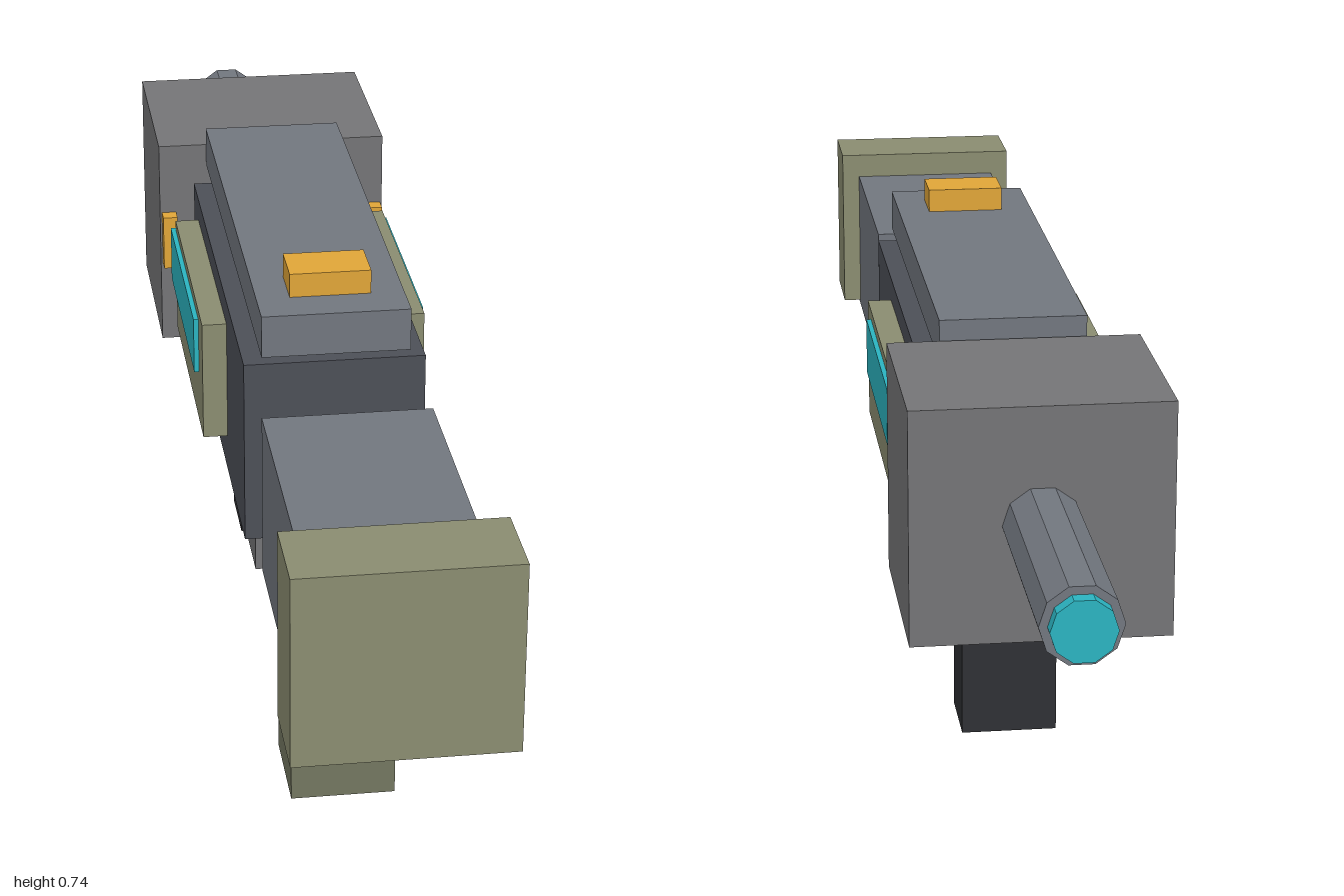
import * as THREE from 'three';

const mat = (color) => new THREE.MeshStandardMaterial({ color, flatShading: true });
const steel = mat(0x71767e), body = mat(0x4c4f57), grey = mat(0x747476), black = mat(0x2f3034);
const olive = mat(0x8a8c70), darkOlive = mat(0x737660), amber = mat(0xe0a538), cyan = mat(0x2bb3c0);

export function createModel() {
  const model = new THREE.Group();
  model.name = 'blaster';

  // Box given by its limits on each axis
  const box = (name, material, [x0, x1], [y0, y1], [z0, z1]) => {
    const mesh = new THREE.Mesh(new THREE.BoxGeometry(x1 - x0, y1 - y0, z1 - z0), material);
    mesh.position.set((x0 + x1) / 2, (y0 + y1) / 2, (z0 + z1) / 2);
    mesh.name = name;
    model.add(mesh);
  };
  // Box centred on x, given by its half width
  const centred = (name, material, half, y, z) => box(name, material, [-half, half], y, z);
  // Ten-sided rod along z, with corners at its left and right
  const rod = (name, material, radius, z0, z1) => {
    const geometry = new THREE.CylinderGeometry(radius, radius, z1 - z0, 10);
    geometry.rotateY(Math.PI / 2).rotateX(Math.PI / 2);
    const mesh = new THREE.Mesh(geometry, material);
    mesh.position.set(0, 0.518, (z0 + z1) / 2);
    mesh.name = name;
    model.add(mesh);
  };

  // Receiver
  centred('receiver', body, 0.125, [0.365, 0.632], [-0.295, 0.372]);
  centred('lowerReceiver', grey, 0.107, [0.3, 0.365], [-0.262, 0.342]);
  centred('topRail', steel, 0.102, [0.648, 0.708], [-0.33, 0.385]);
  centred('rearSight', amber, 0.056, [0.708, 0.742], [0.253, 0.325]);

  // Stock
  centred('stock', steel, 0.115, [0.38, 0.61], [0.492, 0.905]);
  centred('buttPad', olive, 0.143, [0.388, 0.648], [0.88, 1]);

  // Grips and trigger
  centred('rearGrip', darkOlive, 0.074, [0, 0.379], [0.33, 0.475]);
  centred('foreGrip', black, 0.068, [0.077, 0.345], [-0.295, -0.187]);
  centred('trigger', grey, 0.068, [0.278, 0.3], [0.2, 0.27]);
  centred('triggerGuard', grey, 0.058, [0.184, 0.237], [0.21, 0.35]);

  // Barrel
  centred('barrelShroud', grey, 0.175, [0.355, 0.68], [-0.633, -0.335]);
  rod('barrel', steel, 0.053, -0.98, -0.62);
  rod('muzzleGlow', cyan, 0.042, -1, -0.97);

  // Side panels, energy strips and lamps on both sides
  for (const s of [1, -1]) {
    const side = (a, b) => (s > 0 ? [a, b] : [-b, -a]);
    const label = s > 0 ? 'left' : 'right';
    box(label + 'Panel', olive, side(0.12, 0.16), [0.42, 0.597], [-0.233, 0.157]);
    box(label + 'EnergyStrip', cyan, side(0.15, 0.167), [0.5, 0.583], [-0.239, 0.105]);
    box(label + 'Lamp', amber, side(0.15, 0.172), [0.485, 0.57], [-0.345, -0.312]);
  }
  return model;
}
